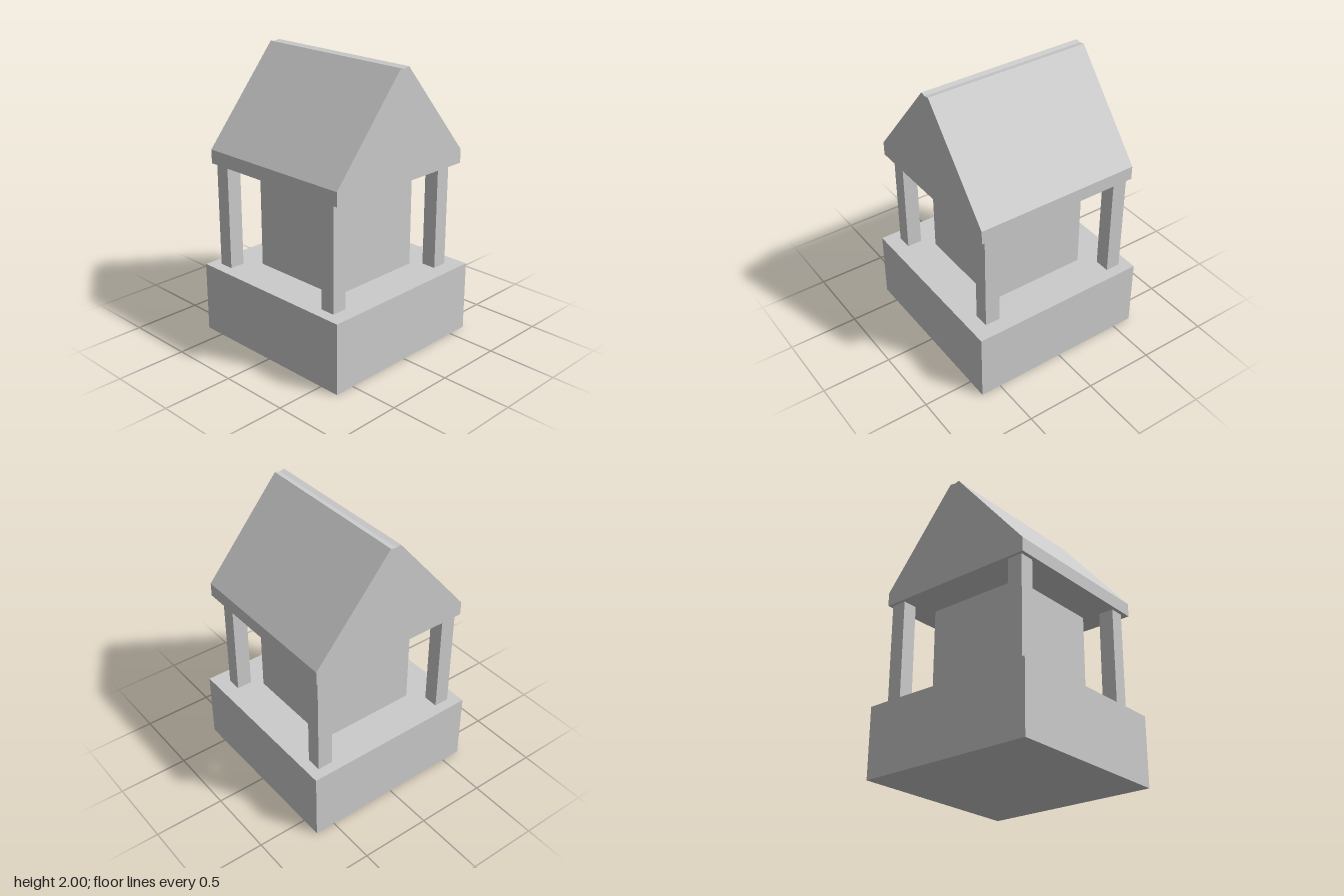
import * as THREE from 'three';

export function createModel() {
  const group = new THREE.Group();
  const material = new THREE.MeshStandardMaterial({ color: 0xcccccc, flatShading: true });

  const add = (name, geometry) => {
    const mesh = new THREE.Mesh(geometry, material);
    mesh.name = name;
    group.add(mesh);
    return mesh;
  };

  // Box given by its footprint centre, bottom, top and width
  const block = (name, x, z, bottom, top, width, depth = width) => {
    const mesh = add(name, new THREE.BoxGeometry(width, top - bottom, depth));
    mesh.position.set(x, (bottom + top) / 2, z);
  };

  const baseTop = 0.5, eaveBottom = 1.245, eaveTop = 1.342;

  block('base', 0, 0, 0, baseTop, 1.29);
  block('chamber', 0, 0, baseTop, 1.217, 0.728);

  // Corner posts, set slightly unevenly
  const posts = [
    ['frontLeftPost', 0.483, 0.511],
    ['frontRightPost', -0.517, 0.511],
    ['backLeftPost', 0.483, -0.483],
    ['backRightPost', -0.517, -0.513],
  ];
  for (const [name, x, z] of posts) block(name, x, z, baseTop, eaveBottom, 0.107, 0.11);

  // Gabled roof with a straight eave band and a shallow groove along the ridge
  const half = 0.593, ridge = 0.038;
  const profile = new THREE.Shape([
    [-half, eaveBottom], [half, eaveBottom], [half, eaveTop],
    [ridge, 2], [0, 1.993], [-ridge, 2], [-half, eaveTop],
  ].map(([x, y]) => new THREE.Vector2(x, y)));
  const roof = new THREE.ExtrudeGeometry(profile, { depth: 2 * half, bevelEnabled: false });
  roof.translate(0, 0, -half).rotateY(Math.PI / 2);
  add('roof', roof);

  return group;
}
